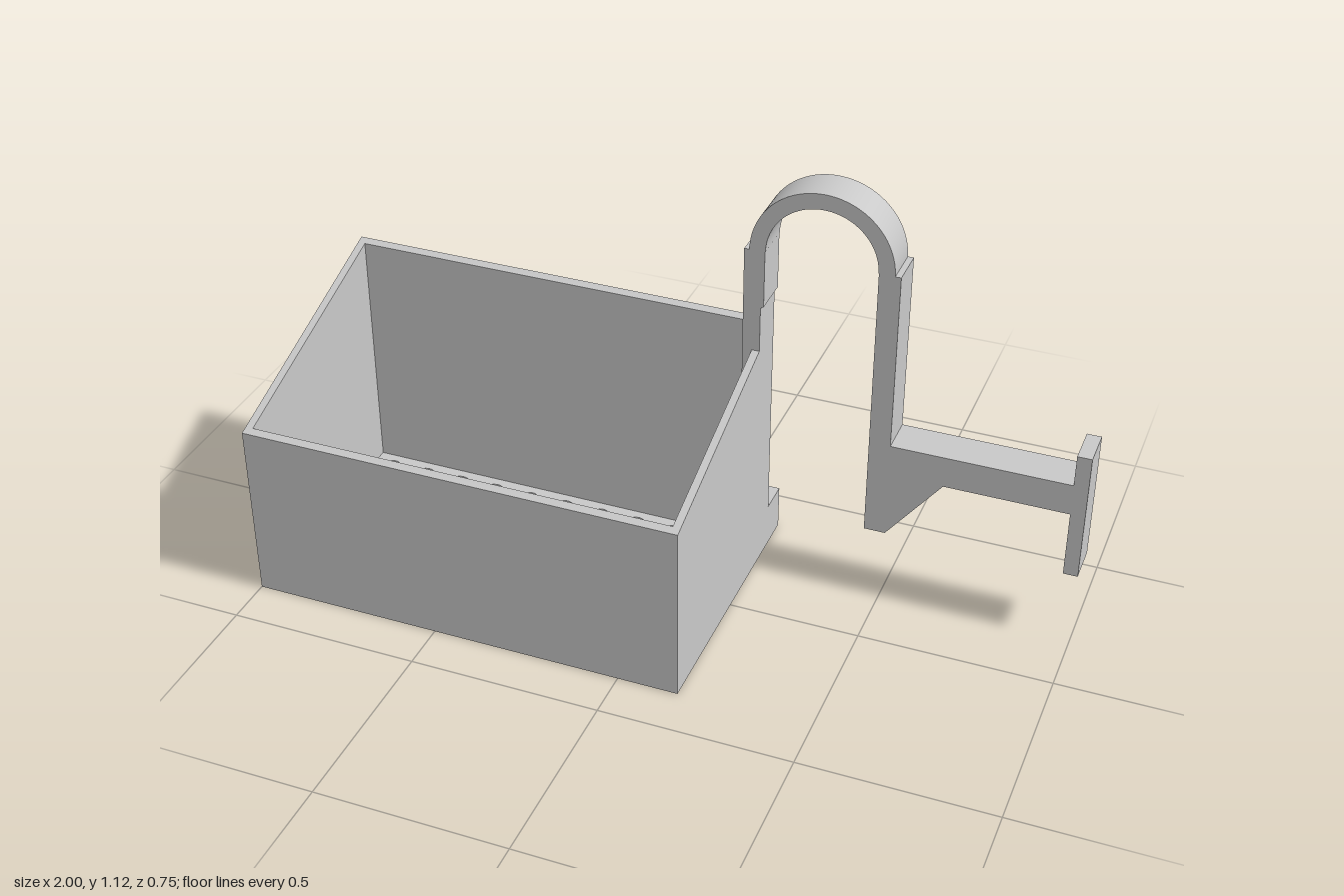
import * as THREE from 'three';
import { toCreasedNormals } from 'three/addons/utils/BufferGeometryUtils.js';

const grey = new THREE.MeshStandardMaterial({ color: 0xc8c8c8 });
grey.name = 'lightGrey';

const X0 = -1, X1 = 0.158, ZB = -0.284, ZF = 0.373; // basket footprint
const WALL = 0.02, FLOOR = 0.02;
const rimY = (z) => 0.48 + (ZF - z) * 0.33; // sloping rim

const toShape = (pts) => new THREE.Shape(pts.map(([a, b]) => new THREE.Vector2(a, b)));
const extrude = (shape, depth) =>
  new THREE.ExtrudeGeometry(shape, { depth, bevelEnabled: false, curveSegments: 24 });

export function createModel() {
  const model = new THREE.Group();
  const add = (parent, name, geometry) => {
    const mesh = new THREE.Mesh(geometry, grey);
    mesh.name = name;
    parent.add(mesh);
    return mesh;
  };
  const group = (name) => {
    const g = new THREE.Group();
    g.name = name;
    model.add(g);
    return g;
  };

  // Basket walls: side profiles in z, y swept along x
  const basket = group('basket');
  const wall = (name, z0, z1, x0, x1) => {
    const profile = toShape([[z0, 0], [z1, 0], [z1, rimY(z1)], [z0, rimY(z0)]]);
    const geometry = extrude(profile, x1 - x0).rotateY(-Math.PI / 2).translate(x1, 0, 0);
    add(basket, name, geometry);
  };
  wall('rightWall', ZB, ZF, X0, X0 + WALL);
  wall('leftWall', ZB, ZF, X1 - WALL, X1);
  wall('frontWall', ZF - WALL, ZF, X0 + WALL, X1 - WALL);
  wall('backWall', ZB, ZB + WALL, X0 + WALL, X1 - WALL);

  // Floor with a grid of drain holes
  const a = X0 + WALL, b = X1 - WALL, c = ZB + WALL, d = ZF - WALL;
  const floor = toShape([[a, c], [b, c], [b, d], [a, d]]);
  for (let i = 0; i < 10; i++) {
    for (let j = 0; j < 5; j++) {
      const hole = new THREE.Path();
      hole.absarc(-0.928 + i * 0.105, -0.212 + j * 0.105, 0.028, 0, Math.PI * 2, true);
      floor.holes.push(hole);
    }
  }
  const floorGeometry = extrude(floor, FLOOR).rotateX(Math.PI / 2).translate(0, FLOOR, 0);
  add(basket, 'drainFloor', toCreasedNormals(floorGeometry, 0.6));

  // Spacer blocks behind the lower back corners
  const spacers = group('spacers');
  for (const [name, x] of [['rightSpacer', X0 + 0.078], ['leftSpacer', X1 - 0.078]]) {
    add(spacers, name, new THREE.BoxGeometry(0.156, 0.12, 0.089)).position.set(x, 0.06, ZB - 0.0445);
  }

  // Hanging hook: front profiles swept along z
  const hook = group('hook');
  const hookPart = (name, shape) =>
    add(hook, name, toCreasedNormals(extrude(shape, 0.105).translate(0, 0, ZB), 0.5));

  hookPart('basketPost', toShape([
    [0.113, FLOOR], [X1, FLOOR], [X1, 0.785], [0.166, 0.79], [0.166, 0.943], [0.113, 0.943],
  ]));

  const arch = new THREE.Shape();
  arch.absarc(0.308, 0.943, 0.182, 0, Math.PI, false);
  arch.absarc(0.308, 0.943, 0.141, Math.PI, 0, true);
  hookPart('arch', arch);

  hookPart('outerPostAndArm', toShape([
    [0.45, 0.2], [0.505, 0.2], [0.645, 0.38], [0.965, 0.38],
    [0.965, 0.465], [0.505, 0.465], [0.505, 0.943], [0.45, 0.943],
  ]));
  hookPart('endPlate', toShape([[0.963, 0.2], [1, 0.2], [1, 0.55], [0.963, 0.55]]));

  return model;
}
